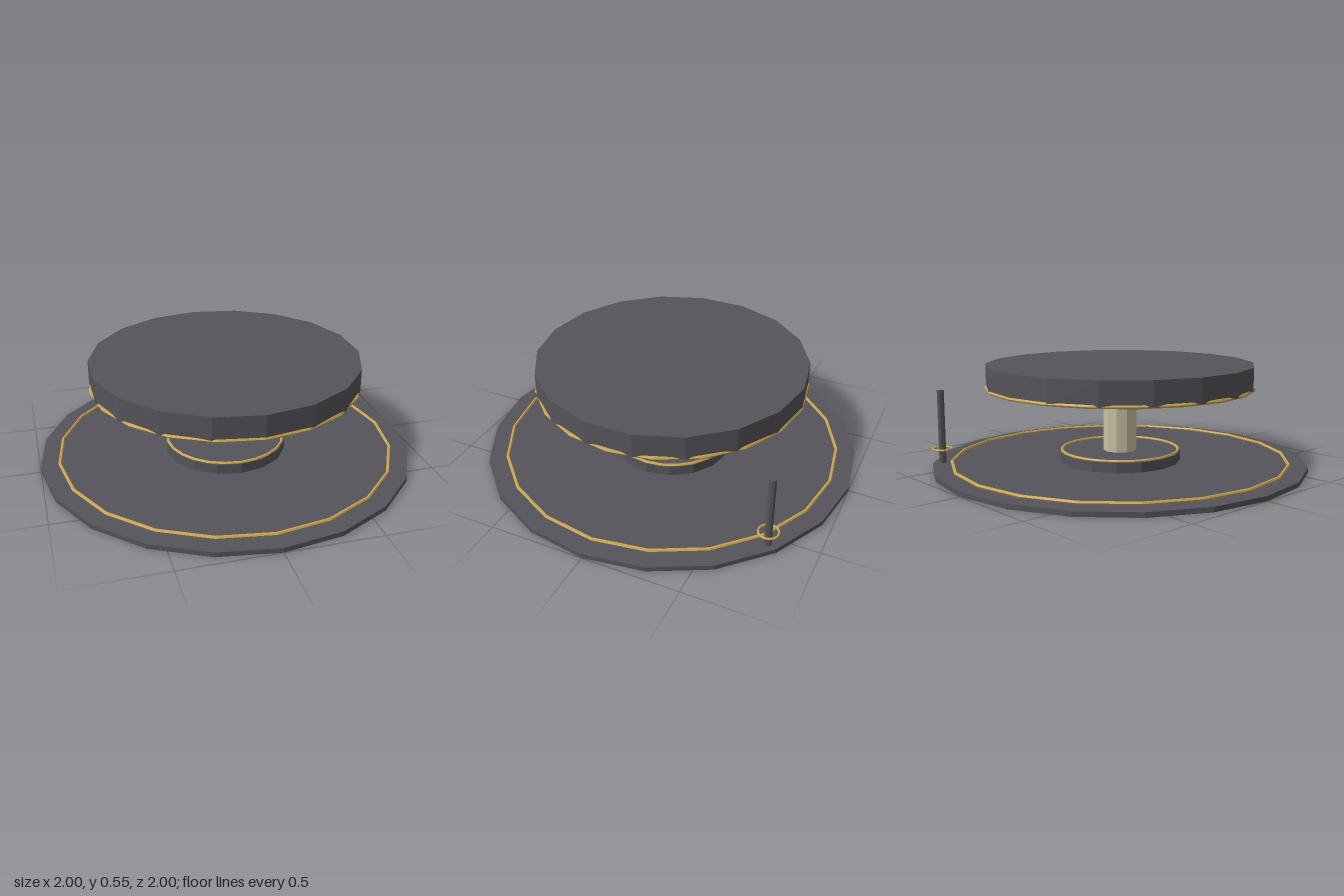
import * as THREE from 'three';

const flat = (name, color) => new THREE.MeshStandardMaterial({ name, color, flatShading: true });

export function createModel() {
  const model = new THREE.Group();
  model.name = 'pedestal';
  const darkMetal = flat('dark metal', 0x55545a);
  const gold = flat('gold trim', 0xc9a552);
  const stone = flat('pale stone', 0xc8bfa4);

  const add = (name, geometry, material, x = 0, z = 0) => {
    const mesh = new THREE.Mesh(geometry, material);
    mesh.name = name;
    mesh.position.set(x, 0, z);
    model.add(mesh);
  };
  // Upright drum between two heights
  const drum = (name, radius, y0, y1, sides, material, x, z) =>
    add(name, new THREE.CylinderGeometry(radius, radius, y1 - y0, sides).translate(0, (y0 + y1) / 2, 0), material, x, z);
  // Horizontal trim ring
  const ring = (name, radius, tube, y, sides, x, z) =>
    add(name, new THREE.TorusGeometry(radius, tube, 6, sides).rotateX(Math.PI / 2).translate(0, y, 0), gold, x, z);

  // Base plate with inlaid ring
  drum('basePlate', 1, 0, 0.025, 20, darkMetal);
  ring('basePlateRing', 0.9, 0.009, 0.034, 20);

  // Foot and column
  drum('columnFoot', 0.325, 0.025, 0.078, 16, darkMetal);
  ring('columnFootRing', 0.315, 0.008, 0.083, 24);
  drum('column', 0.09, 0.07, 0.43, 10, stone);

  // Upper disc with trim around its lower edge
  drum('upperDisc', 0.715, 0.425, 0.55, 18, darkMetal);
  ring('upperDiscRing', 0.71, 0.01, 0.428, 20);

  // Slim post near the back rim
  drum('post', 0.019, 0.025, 0.415, 8, darkMetal, 0.57, -0.76);
  ring('postRing', 0.05, 0.006, 0.1, 14, 0.57, -0.76);

  return model;
}
